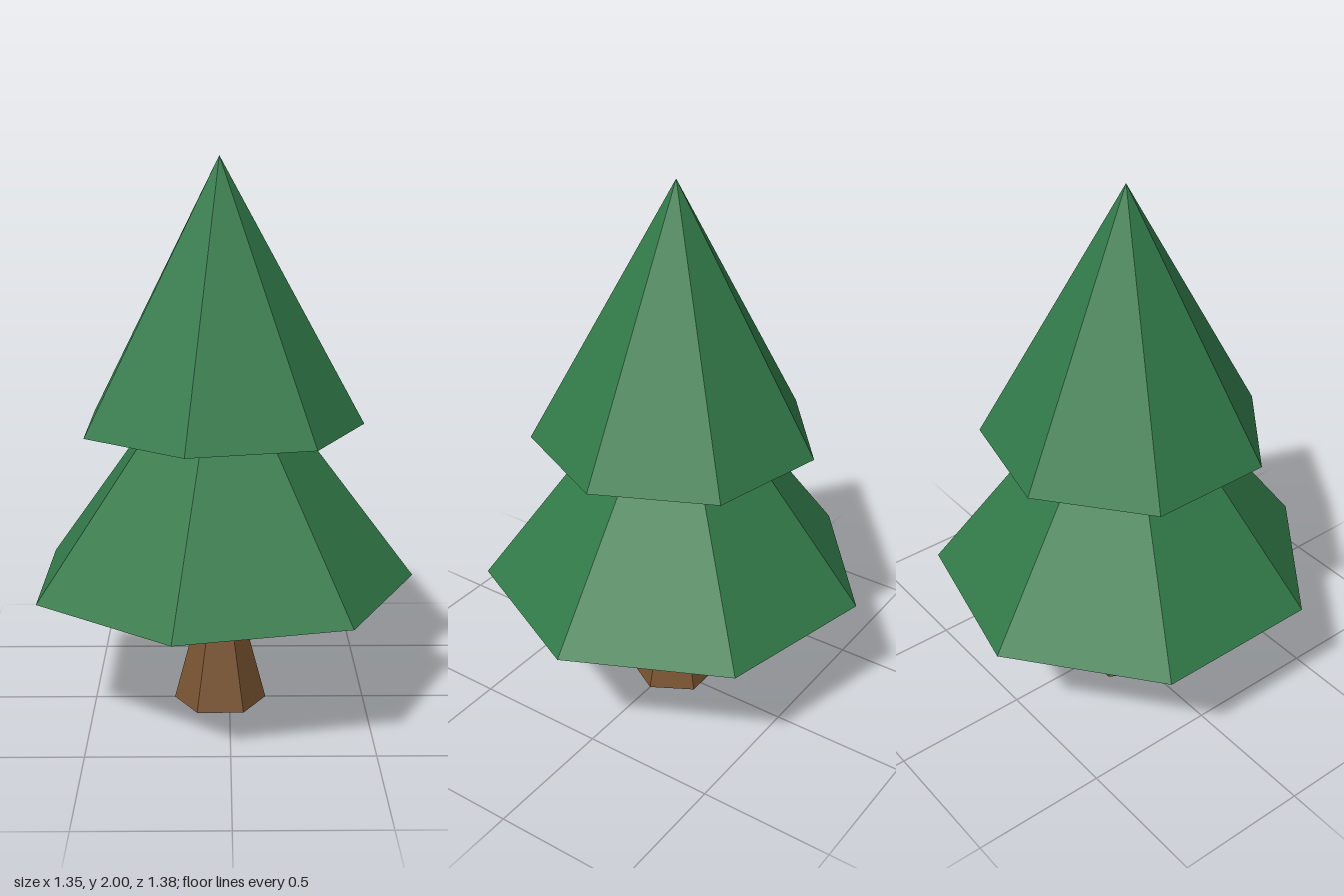
import * as THREE from 'three';

const needleGreen = new THREE.MeshStandardMaterial({ color: 0x327a49, flatShading: true });
needleGreen.name = 'needleGreen';
const barkBrown = new THREE.MeshStandardMaterial({ color: 0x7a5432, flatShading: true });
barkBrown.name = 'barkBrown';

// Low-poly cone standing on height y, with one corner pointing to +x
function cone(name, radius, bottom, top, sides, material) {
  const height = top - bottom;
  const geometry = new THREE.ConeGeometry(radius, height, sides);
  geometry.rotateY(Math.PI / 2);
  geometry.translate(0, bottom + height / 2, 0);
  const mesh = new THREE.Mesh(geometry, material);
  mesh.name = name;
  return mesh;
}

export function createModel() {
  const tree = new THREE.Group();
  tree.name = 'pineTree';
  tree.add(
    // six-sided tapering trunk
    cone('trunk', 0.17, 0, 0.65, 6, barkBrown),
    // two overlapping seven-sided tiers of foliage
    cone('lowerFoliage', 0.71, 0.48, 1.425, 7, needleGreen),
    cone('upperFoliage', 0.52, 1.053, 2, 7, needleGreen)
  );
  // seven-sided tiers reach further on one side, so shift to centre the bounds
  tree.position.x = -0.035;
  const model = new THREE.Group();
  model.name = 'model';
  model.add(tree);
  return model;
}
